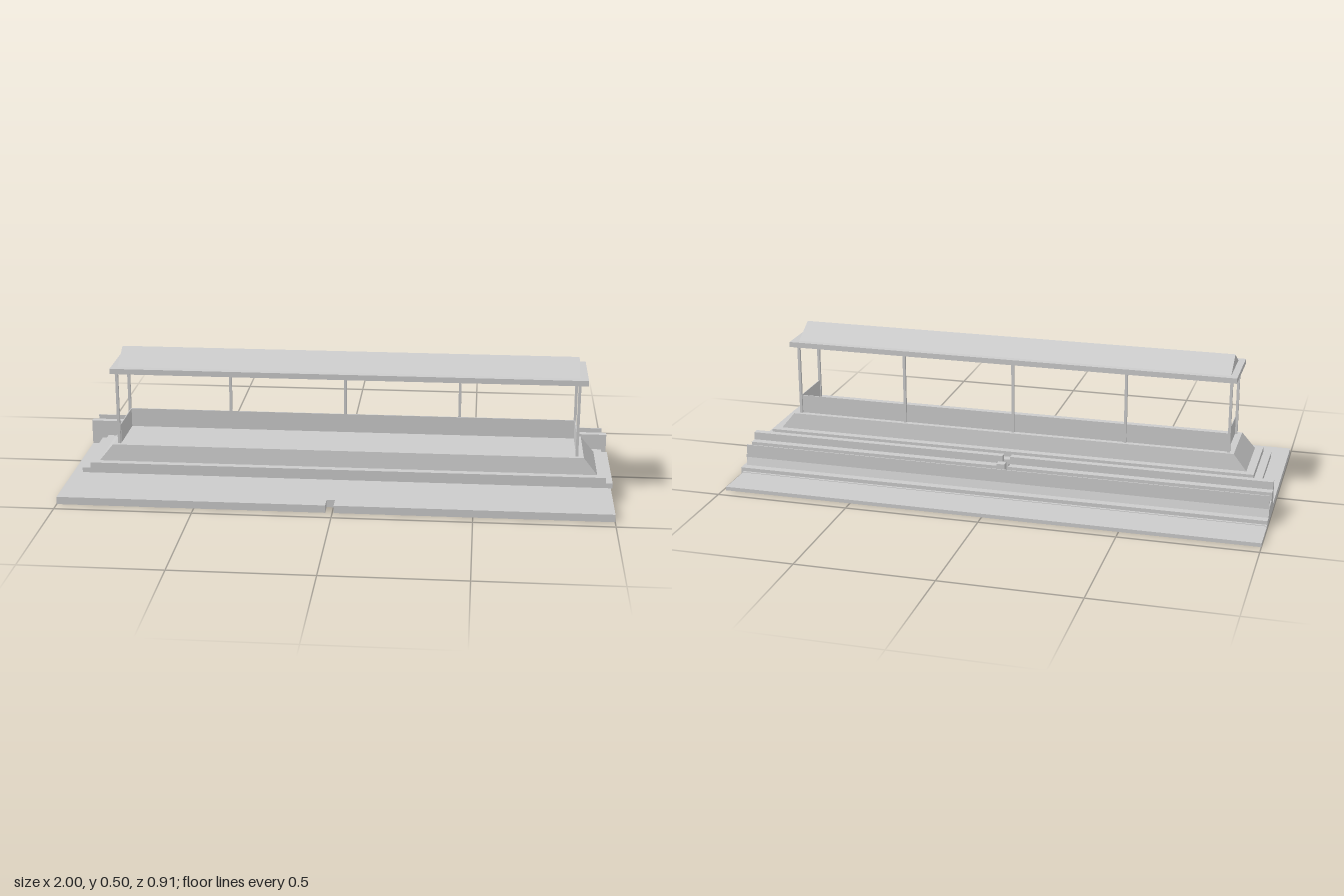
import * as THREE from 'three';

const material = new THREE.MeshStandardMaterial({ color: 0xcccccc, flatShading: true, side: THREE.DoubleSide });

export function createModel() {
  const model = new THREE.Group();

  const add = (name, geometry) => {
    const mesh = new THREE.Mesh(geometry, material);
    mesh.name = name;
    model.add(mesh);
    return mesh;
  };

  // Box given by its limits on each axis
  const box = (name, [x0, x1], [y0, y1], [z0, z1]) =>
    add(name, new THREE.BoxGeometry(x1 - x0, y1 - y0, z1 - z0))
      .position.set((x0 + x1) / 2, (y0 + y1) / 2, (z0 + z1) / 2);

  // Cross-section of [z, y] points swept along x
  const sweep = (name, points, x0, x1) => {
    const shape = new THREE.Shape(points.map(([z, y]) => new THREE.Vector2(-z, y)));
    const geometry = new THREE.ExtrudeGeometry(shape, { depth: x1 - x0, bevelEnabled: false });
    geometry.rotateY(Math.PI / 2).translate(x0, 0, 0);
    add(name, geometry);
  };

  // Ground slab with a small notch in the middle of its front edge
  const gap = [-0.025, 0.005];
  const outline = new THREE.Shape([
    [-1, 0.29], [1, 0.29], [1, -0.455], [gap[1], -0.455], [gap[1], -0.4],
    [gap[0], -0.4], [gap[0], -0.455], [-1, -0.455],
  ].map(([x, y]) => new THREE.Vector2(x, y)));
  add('groundSlab', new THREE.ExtrudeGeometry(outline, { depth: 0.028, bevelEnabled: false }).rotateX(-Math.PI / 2));

  // Low strip behind the slab, with a raised lip
  box('backStrip', [-1, 0.99], [0, 0.012], [-0.447, -0.29]);
  box('backStripLip', [-1, 0.99], [0, 0.014], [-0.455, -0.447]);
  box('backStripCurb', [-1, 0.99], [0, 0.014], [-0.3, -0.29]);

  // Platform steps, carried on a riser along the back
  box('platformLowerStep', [-0.945, 1], [0.057, 0.075], [-0.065, 0.272]);
  box('platformUpperStep', [-0.915, 0.975], [0.075, 0.096], [-0.035, 0.272]);
  box('platformRiser', [-0.945, gap[0]], [0.028, 0.057], [-0.065, -0.035]);
  box('platformRiser', [gap[1], 1], [0.028, 0.057], [-0.065, -0.035]);

  // Platform body with sloping sides
  const body = new THREE.BoxGeometry(1, 1, 1);
  const p = body.attributes.position;
  for (let i = 0; i < p.count; i++) {
    const top = p.getY(i) > 0;
    const [x0, x1, z0, z1] = top ? [-0.835, 0.895, 0, 0.237] : [-0.885, 0.945, -0.007, 0.245];
    p.setXYZ(i, p.getX(i) > 0 ? x1 : x0, top ? 0.157 : 0.096, p.getZ(i) > 0 ? z1 : z0);
  }
  body.computeVertexNormals();
  add('platformBody', body);

  // Parapet along the back and both ends, open at the front
  box('backParapet', [-0.81, 0.87], [0.157, 0.228], [0.02, 0.024]);
  for (const x of [-0.81, 0.868]) box('endParapet', [x, x + 0.003], [0.157, 0.228], [0.022, 0.213]);

  // Posts: five at the back, two at the front corners
  const post = (x, z) => box('post', [x - 0.005, x + 0.005], [0.157, 0.43], [z - 0.005, z + 0.005]);
  for (const x of [-0.814, -0.425, 0.01, 0.44, 0.87]) post(x, 0.017);
  for (const x of [-0.814, 0.87]) post(x, 0.218);

  // Canopy and gable roof
  box('canopy', [-0.835, 0.9], [0.43, 0.45], [-0.003, 0.24]);
  sweep('gableRoof', [[0.213, 0.45], [0.118, 0.503], [0.022, 0.45]], -0.81, 0.87);

  // Stepped terrace in two halves with a passage between
  const terrace = [
    [-0.128, 0.028], [-0.128, 0.122], [-0.153, 0.122], [-0.153, 0.093],
    [-0.182, 0.093], [-0.182, 0.062], [-0.235, 0.062], [-0.235, 0.028],
  ];
  sweep('terrace', terrace, -1, gap[0]);
  sweep('terrace', terrace, gap[1], 1);
  box('centrePillar', gap, [0.028, 0.122], [-0.235, -0.207]);

  // Thin fence on a wedge-shaped foot
  sweep('fence', [
    [-0.237, 0.028], [-0.246, 0.057], [-0.246, 0.107],
    [-0.25, 0.107], [-0.25, 0.057], [-0.26, 0.028],
  ], -1, 0.99);

  return model;
}
